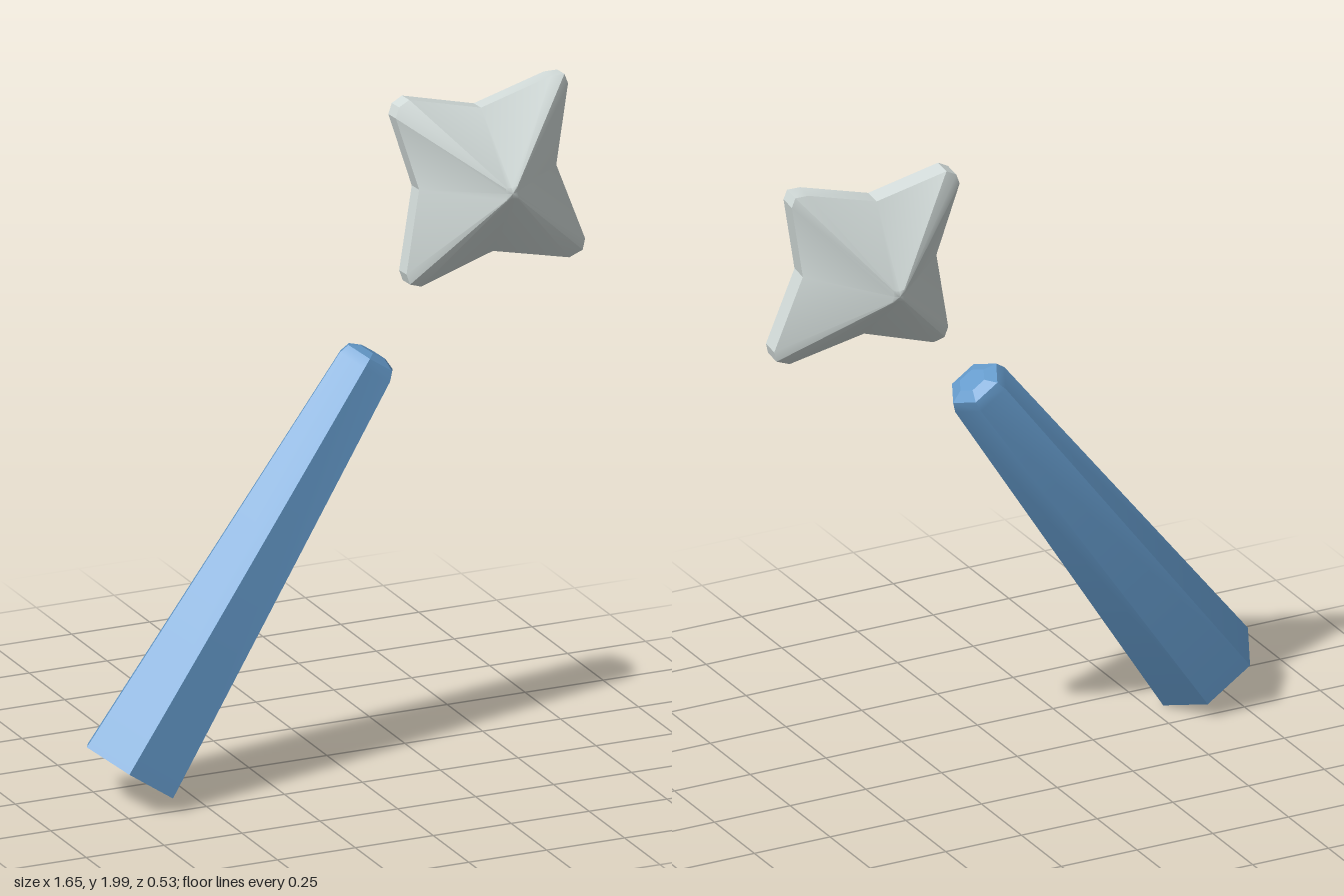
import * as THREE from 'three';
import { toCreasedNormals } from 'three/addons/utils/BufferGeometryUtils.js';

// Closed skin over a stack of rings, listed back to front, each counterclockwise
function skin(rings) {
  const n = rings[0].length;
  const positions = rings.flat(2);
  const index = [];
  for (let j = 0; j < rings.length - 1; j++) {
    for (let i = 0; i < n; i++) {
      const k = (i + 1) % n;
      const a = j * n + i, b = j * n + k, c = b + n, d = a + n;
      index.push(a, b, c, a, c, d);
    }
  }
  const g = new THREE.BufferGeometry();
  g.setAttribute('position', new THREE.Float32BufferAttribute(positions, 3));
  g.setIndex(index);
  return toCreasedNormals(g, 0.45);
}

export function createModel() {
  const group = new THREE.Group();
  const blue = new THREE.MeshStandardMaterial({ name: 'handle blue', color: 0x659bcc });
  const silver = new THREE.MeshStandardMaterial({ name: 'star silver', color: 0xd3dcda });

  // Handle: tapered hexagonal shaft with a bevelled tip
  const profile = [[0, 0], [0.169, 0], [0.098, 1.362], [0.086, 1.393], [0.046, 1.409], [0, 1.409]]
    .map(([r, y]) => new THREE.Vector2(r, y));
  const shaft = new THREE.LatheGeometry(profile, 6, Math.PI / 2);
  const p = shaft.attributes.position;
  // Lean the shaft while keeping its base square
  for (let i = 0; i < p.count; i++) {
    const y = p.getY(i);
    p.setX(i, p.getX(i) + 0.034 * y);
    p.setZ(i, p.getZ(i) - 0.08 * y);
  }
  const handle = new THREE.Mesh(toCreasedNormals(shaft, 0.3), blue);
  handle.name = 'handle';
  handle.position.set(-0.685, 0.1, 0.12);
  handle.rotation.z = -0.596;
  group.add(handle);

  // Star outline: inner corner, then three points around each blunt tip
  const outline = [
    [0.22, 0.01], [0.267, 0.25], [0.257, 0.28], [0.215, 0.28],
    [-0.01, 0.215], [-0.235, 0.27], [-0.268, 0.252], [-0.28, 0.22],
    [-0.215, -0.005], [-0.265, -0.255], [-0.255, -0.287], [-0.22, -0.298],
    [0.01, -0.222], [0.25, -0.275], [0.293, -0.258], [0.302, -0.225],
  ];
  const ring = (scale, z) => outline.map(([x, y]) => [x * scale, y * scale, z]);

  // Star: flat rim between two blunt pyramidal faces
  const star = new THREE.Mesh(skin([
    ring(0, -0.226), ring(0.07, -0.22), ring(1, -0.028),
    ring(1, 0.028), ring(0.07, 0.22), ring(0, 0.226),
  ]), silver);
  star.name = 'star';
  star.position.set(0.52, 1.715, -0.04);
  star.rotation.set(-0.09, -0.03, 0);
  group.add(star);

  return group;
}
